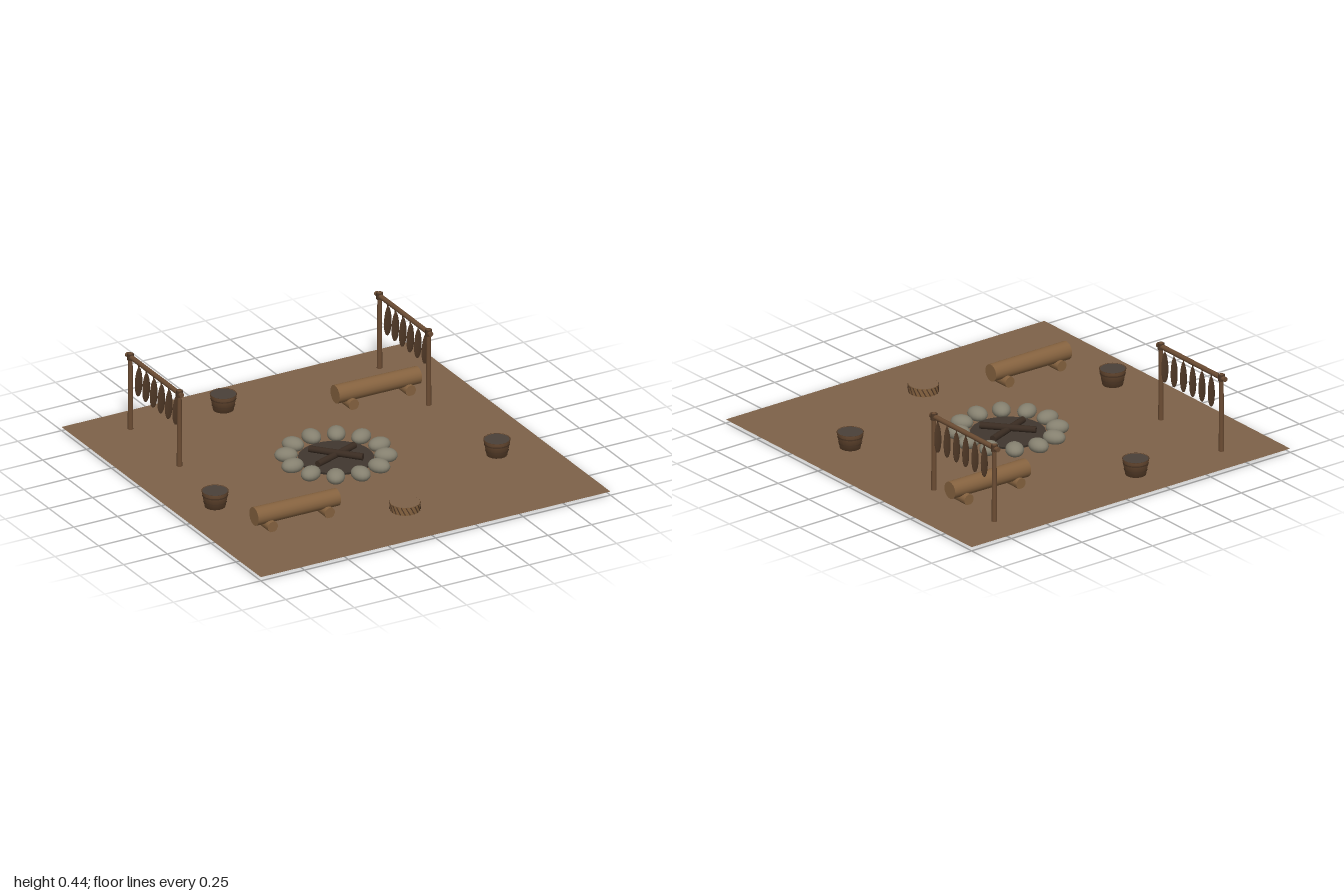
import * as THREE from 'three';

const mat = (name, color, side = THREE.FrontSide) => {
  const m = new THREE.MeshStandardMaterial({ color, side });
  m.name = name;
  return m;
};

export function createModel() {
  const model = new THREE.Group();
  model.name = 'campsite';
  const earth = mat('earth', 0x7d6249, THREE.DoubleSide);
  const bark = mat('bark', 0x85623f);
  const pole = mat('poleWood', 0x6b4c33);
  const darkWood = mat('darkWood', 0x4f3826);
  const stone = mat('stone', 0x85806f);
  const ash = mat('ash', 0x40372f);
  const charcoal = mat('charcoal', 0x3a2c22);
  const contents = mat('pailContents', 0x4a4039);
  const GROUND = 0.02;

  const add = (parent, name, geometry, material, x = 0, y = 0, z = 0) => {
    const mesh = new THREE.Mesh(geometry, material);
    mesh.name = name;
    mesh.position.set(x, y, z);
    parent.add(mesh);
    return mesh;
  };
  const group = (name, x = 0, y = 0, z = 0) => {
    const g = new THREE.Group();
    g.name = name;
    g.position.set(x, y, z);
    model.add(g);
    return g;
  };

  // Ground sheet with four barely raised patches around the fire
  add(model, 'ground', new THREE.PlaneGeometry(2, 2).rotateX(-Math.PI / 2), earth, 0, GROUND, 0);
  for (const [x, z] of [[0, 0.69], [0.6, 0.06], [-0.57, 0.04], [0.03, -0.6]]) {
    add(model, 'groundPatch', new THREE.PlaneGeometry(0.34, 0.3).rotateX(-Math.PI / 2), earth, x, GROUND + 0.001, z);
  }

  // Fire pit: ash bed, stone ring and crossed charred logs
  const fire = group('firePit');
  add(fire, 'ashBed', new THREE.CylinderGeometry(0.19, 0.18, 0.032, 32), ash, 0, 0.016, 0);
  for (let i = 0; i < 12; i++) {
    const a = (i / 12) * Math.PI * 2;
    const s = add(fire, 'ringStone', new THREE.SphereGeometry(1, 16, 12), stone,
      Math.cos(a) * 0.248, 0.044, Math.sin(a) * 0.248);
    s.scale.set(0.059, 0.037, 0.047);
    s.rotation.y = -a;
  }
  for (const [turn, y] of [[0.36, 0.046], [-0.86, 0.056]]) {
    const log = add(fire, 'charredLog', new THREE.CylinderGeometry(0.017, 0.018, 0.285, 10).rotateZ(Math.PI / 2),
      charcoal, 0, y, 0);
    log.rotation.y = turn;
  }

  // Log benches on short cross logs
  for (const [x, z, turn] of [[-0.525, 0.513, -0.012], [0.525, -0.515, -0.012]]) {
    const bench = group('logBench', x, 0, z);
    const log = add(bench, 'benchLog', new THREE.CylinderGeometry(0.045, 0.048, 0.47, 20).rotateZ(-Math.PI / 2),
      bark, 0, 0.095, 0);
    log.rotation.y = turn;
    for (const side of [-1, 1]) {
      add(bench, 'benchFoot', new THREE.CylinderGeometry(0.029, 0.029, 0.12, 14).rotateX(Math.PI / 2),
        bark, side * 0.163, 0.046, 0);
    }
  }

  // Wooden pails with hoops and dark contents
  const pailRadius = (y) => 0.052 + (0.016 * (y - 0.02)) / 0.086;
  for (const [x, z] of [[-0.2, -0.78], [-0.79, 0.172], [0.722, 0.348]]) {
    const pail = group('pail', x, 0, z);
    const wall = [[0, 0.021], [0.052, 0.021], [0.068, 0.106], [0.064, 0.106], [0.063, 0.099]];
    add(pail, 'pailWall', new THREE.LatheGeometry(wall.map((p) => new THREE.Vector2(...p)), 20), pole);
    add(pail, 'pailContents', new THREE.CylinderGeometry(0.065, 0.064, 0.003, 20), contents, 0, 0.103, 0);
    for (const y of [0.05, 0.085]) {
      add(pail, 'pailHoop', new THREE.CylinderGeometry(pailRadius(y + 0.004) + 0.002, pailRadius(y - 0.004) + 0.002,
        0.008, 20, 1, true), darkWood, 0, y, 0);
    }
  }

  // Low round seat bound with slanted cord
  const seat = group('roundSeat', 0.01, 0, 0.675);
  add(seat, 'seatBody', new THREE.CylinderGeometry(0.076, 0.076, 0.043, 28), bark, 0, 0.0425, 0);
  add(seat, 'seatTop', new THREE.CylinderGeometry(0.075, 0.075, 0.002, 28), earth, 0, 0.064, 0);
  for (let i = 0; i < 20; i++) {
    const a = (i / 20) * Math.PI * 2;
    const cord = add(seat, 'seatCord', new THREE.BoxGeometry(0.005, 0.044, 0.004), darkWood,
      Math.sin(a) * 0.076, 0.043, Math.cos(a) * 0.076);
    cord.rotation.set(0, a, 0.5, 'YXZ');
  }

  // Drying racks: two posts, a rail, lashings and hanging fillets
  const fillet = new THREE.SphereGeometry(1, 12, 10);
  const fp = fillet.attributes.position;
  for (let i = 0; i < fp.count; i++) {
    const y = fp.getY(i);
    fp.setXYZ(i, fp.getX(i) * 0.022 * (1 - 0.15 * y), y * 0.082, fp.getZ(i) * 0.006);
  }
  fillet.computeVertexNormals();
  for (const x of [-0.713, 0.712]) {
    const rack = group('dryingRack', x, 0, 0);
    for (const z of [-0.32, -0.812]) {
      add(rack, 'rackPost', new THREE.CylinderGeometry(0.011, 0.014, 0.415, 12), pole, 0, GROUND + 0.2075, z);
      add(rack, 'rackLashing', new THREE.CylinderGeometry(0.017, 0.017, 0.034, 12), darkWood, 0, 0.417, z);
    }
    add(rack, 'rackRail', new THREE.CylinderGeometry(0.013, 0.013, 0.55, 12).rotateX(Math.PI / 2),
      pole, 0, 0.417, -0.57);
    for (let i = 0; i < 6; i++) {
      const z = -0.352 - i * 0.0755;
      add(rack, 'filletCord', new THREE.CylinderGeometry(0.003, 0.003, 0.04, 6), darkWood, 0, 0.39, z);
      const f = add(rack, 'hangingFillet', fillet, darkWood, 0, 0.313, z);
      f.rotation.x = 0.03;
    }
  }
  return model;
}
